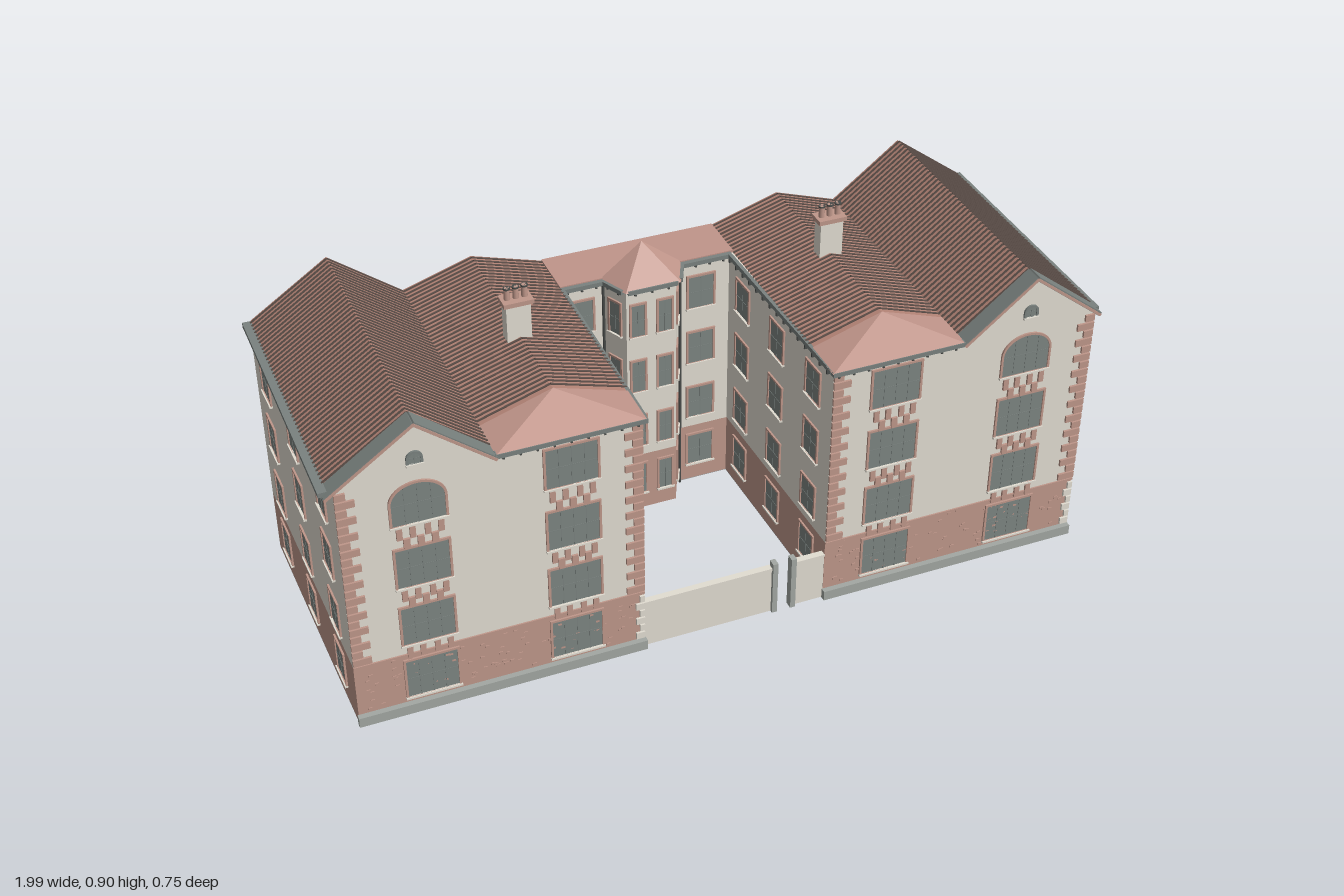
import * as THREE from 'three';
import { mergeGeometries } from 'three/addons/utils/BufferGeometryUtils.js';
import { ConvexGeometry } from 'three/addons/geometries/ConvexGeometry.js';

const mat = (name, color) => Object.assign(new THREE.MeshStandardMaterial({ color }), { name });
const M = {
  wall: mat('render', 0xe2ddd2), red: mat('redStone', 0xbf978a), hip: mat('smoothRoof', 0xc0958a),
  tile: mat('roofTile', 0xb48476), groove: mat('tileGroove', 0x5e504a), glass: mat('glass', 0x7d8582),
  slate: mat('slate', 0x7a827f), plinth: mat('plinthStone', 0xa3a8a3), dark: mat('darkMetal', 0x4a4d4b),
  floor: mat('underside', 0xa4a4a4),
};

const boxGeo = (w, h, d, x, y, z) => new THREE.BoxGeometry(w, h, d).translate(x, y, z);
function add(parent, name, geo, material) {
  const m = new THREE.Mesh(geo, material);
  m.name = name;
  parent.add(m);
  return m;
}
const box = (parent, name, material, w, h, d, x, y, z) => add(parent, name, boxGeo(w, h, d, x, y, z), material);

// Prism rising from a floor plan of [x, z] points
function plan(parent, name, material, pts, y0, y1) {
  const s = new THREE.Shape(pts.map(([x, z]) => new THREE.Vector2(x, -z)));
  const g = new THREE.ExtrudeGeometry(s, { depth: y1 - y0, bevelEnabled: false });
  return add(parent, name, g.rotateX(-Math.PI / 2).translate(0, y0, 0), material);
}

// Prism running along z from an outline of [x, y] points
function profile(parent, name, material, pts, z0, z1) {
  const s = new THREE.Shape(pts.map(p => new THREE.Vector2(...p)));
  const g = new THREE.ExtrudeGeometry(s, { depth: z1 - z0, bevelEnabled: false });
  return add(parent, name, g.translate(0, 0, z0), material);
}

// Group lying on a wall: local x runs along it, local z points outward
function facade(parent, name, [x1, z1], [x2, z2]) {
  const g = new THREE.Group();
  g.name = name;
  g.position.set(x1, 0, z1);
  g.rotation.y = Math.atan2(z1 - z2, x2 - x1);
  g.userData.length = Math.hypot(x2 - x1, z2 - z1);
  parent.add(g);
  return g;
}

function windowShape(w, h, arch) {
  const s = new THREE.Shape();
  s.moveTo(-w / 2, 0);
  s.lineTo(w / 2, 0);
  s.lineTo(w / 2, h - arch);
  if (arch) s.absellipse(0, h - arch, w / 2, arch, 0, Math.PI, false);
  else s.lineTo(-w / 2, h);
  s.lineTo(-w / 2, 0);
  return s;
}

// Window with frame, glazing bars and sill
function addWindow(f, x, y, w, h, { frame = M.red, arch = 0, cols = 2 } = {}) {
  const g = new THREE.Group();
  g.name = 'window';
  g.position.set(x, y, 0);
  f.add(g);
  const t = 0.006;
  add(g, 'pane', new THREE.ShapeGeometry(windowShape(w, h, arch), 10).translate(0, 0, 0.002), M.glass);
  const rim = windowShape(w + 2 * t, h + t, arch ? arch + t : 0);
  rim.holes.push(windowShape(w, h, arch));
  add(g, 'windowFrame', new THREE.ExtrudeGeometry(rim, { depth: 0.005, bevelEnabled: false, curveSegments: 10 }), frame);
  const bars = [boxGeo(w, 0.002, 0.002, 0, h * 0.5, 0.002)];
  for (let i = 1; i < cols; i++) bars.push(boxGeo(0.002, h * 0.96, 0.002, -w / 2 + w * i / cols, h * 0.48, 0.002));
  add(g, 'glazingBars', mergeGeometries(bars), M.slate);
  box(g, 'sill', M.wall, w + 0.014, 0.005, 0.009, 0, -0.0025, 0.004);
}

// Gutter with small brackets beneath
function addGutter(f, from, to, out = 0.018) {
  box(f, 'gutter', M.slate, to - from, 0.012, out, (from + to) / 2, 0.708, out / 2);
  const n = Math.round((to - from) / 0.04), parts = [];
  for (let i = 0; i < n; i++) parts.push(boxGeo(0.005, 0.011, 0.01, from + (i + 0.5) * (to - from) / n, 0.6965, 0.005));
  add(f, 'eaveBrackets', mergeGeometries(parts), M.dark);
}

// Ridged roof: a shell open at the back over an attic floor, with dark ribs down both slopes
function addRoof(parent, x0, xm, x1, top, z0, z1) {
  const y = 0.712;
  profile(parent, 'tiledRoof', M.tile,
    [[x0, y], [x0 + 0.014, y], [xm, top - 0.008], [x1 - 0.014, y], [x1, y], [xm, top]], z0, z1);
  box(parent, 'atticFloor', M.slate, x1 - x0 - 0.02, 0.004, z1 - z0, (x0 + x1) / 2, 0.71, (z0 + z1) / 2);
  for (const xe of [x0, x1]) {
    const len = Math.hypot(xm - xe, top - y), a = Math.atan2(top - y, xm - xe), parts = [];
    for (let z = z0 + 0.01; z < z1 - 0.004; z += 0.0157) parts.push(boxGeo(len, 0.005, 0.0052, len / 2, 0, z));
    const ribs = add(parent, 'tileGrooves', mergeGeometries(parts), M.groove);
    ribs.rotation.z = a;
    ribs.position.set(xe, y, 0);
  }
}

// Front gable with sloping coping and a small arched light
function addGable(parent, x0, xm, x1) {
  const top = 0.848, y = 0.7;
  profile(parent, 'frontGable', M.wall, [[x0, y], [x1, y], [xm, top]], 0.33, 0.357);
  for (const xe of [x0, x1]) {
    const s = Math.sign(xm - xe), len = Math.hypot(xm - xe, top - y) + 0.004;
    const c = new THREE.Group();
    c.name = 'gableCoping';
    c.position.set(xe, y, 0);
    c.rotation.z = Math.atan2(top - y, xm - xe);
    parent.add(c);
    box(c, 'copingSlate', M.slate, len, 0.011, 0.045, len / 2, 0.0045 * s, 0.3525);
    box(c, 'copingEdge', M.red, len, 0.007, 0.002, len / 2, 0.0035 * s, 0.376);
  }
  const f = facade(parent, 'gableLight', [xm, 0.357], [xm + 0.1, 0.357]);
  addWindow(f, 0, 0.736, 0.028, 0.028, { arch: 0.014, frame: M.slate });
}

function addChimney(parent, x, z) {
  const g = new THREE.Group();
  g.name = 'chimney';
  g.position.set(x, 0, z);
  parent.add(g);
  box(g, 'chimneyStack', M.wall, 0.062, 0.15, 0.035, 0, 0.785, 0);
  box(g, 'chimneyCap', M.red, 0.076, 0.012, 0.048, 0, 0.866, 0);
  for (const dx of [-0.022, 0, 0.022]) {
    add(g, 'chimneyPot', new THREE.CylinderGeometry(0.007, 0.008, 0.034, 10).translate(dx, 0.887, 0), M.red);
    add(g, 'potRim', new THREE.CylinderGeometry(0.009, 0.009, 0.004, 10).translate(dx, 0.902, 0), M.dark);
  }
}

// Ornate street front of one wing; cols are [x, isArched]
function addStreetFront(parent, x0, x1, cols, gutterFrom, gutterTo, seed) {
  const f = facade(parent, 'streetFront', [x0, 0.355], [x1, 0.355]), L = x1 - x0;
  for (const [wx, arched] of cols) {
    const x = wx - x0;
    [0.045, 0.21, 0.385, 0.568].forEach((y, row) => {
      const top = row === 3;
      addWindow(f, x, y, 0.128, 0.112, { cols: 4, arch: top && arched ? 0.05 : 0 });
      if (row === 0) return;
      const parts = [-0.05, -0.018, 0.018, 0.05].map(d => boxGeo(0.014, 0.034, 0.006, x + d, y - 0.023, 0.003));
      if (!top) for (const d of [-0.034, 0, 0.034]) parts.push(boxGeo(0.016, 0.03, 0.006, x + d, y + 0.128, 0.003));
      add(f, 'windowBlocks', mergeGeometries(parts), M.red);
    });
  }
  // Alternating corner blocks
  const quoins = [], baseQuoins = [];
  for (let i = 0; i < 22; i++) {
    const w = i % 2 ? 0.026 : 0.046, y = 0.195 + i * 0.0235;
    for (const x of [w / 2, L - w / 2]) quoins.push(boxGeo(w, 0.019, 0.008, x, y, 0.002));
    if (i < 6) baseQuoins.push(boxGeo(w / 2, 0.019, 0.008, L - w / 4, 0.042 + i * 0.0235, 0.002));
  }
  add(f, 'cornerBlocks', mergeGeometries(quoins), M.red);
  add(f, 'baseCornerBlocks', mergeGeometries(baseQuoins), M.wall);
  // Rubble stones standing slightly proud of the base storey
  const rnd = () => (seed = (seed * 16807) % 2147483647) / 2147483647;
  const stones = [];
  for (let i = 0; i < 90; i++) stones.push(boxGeo(0.01, 0.006, 0.003, 0.03 + rnd() * (L - 0.06), 0.036 + rnd() * 0.135, 0.0005));
  add(f, 'rubbleStones', mergeGeometries(stones), M.red);
  box(f, 'stringCourse', M.red, L, 0.006, 0.004, L / 2, 0.178, 0.002);
  box(f, 'plinth', M.plinth, L + 0.006, 0.028, 0.015, L / 2, 0.014, 0.0075);
  addGutter(f, gutterFrom - x0, gutterTo - x0);
}

// Plain wall with a grid of windows at the given distances along it
function addPlainWall(parent, name, p, q, cols, w = 0.07, gutter = 0.018) {
  const f = facade(parent, name, p, q);
  for (const x of cols) [0.055, 0.213, 0.39, 0.563].forEach(y => addWindow(f, x, y, w, 0.095));
  addGutter(f, 0, f.userData.length, gutter);
}

export function createModel() {
  const g = new THREE.Group();
  g.name = 'apartmentBuilding';

  // U-shaped body
  const U = [[-0.965, 0.355], [-0.228, 0.355], [-0.222, -0.235], [0.246, -0.235], [0.264, 0.355],
    [0.982, 0.355], [0.982, -0.372], [-0.982, -0.372]];
  plan(g, 'underside', M.floor, U, 0, 0.002);
  plan(g, 'baseStorey', M.red, U, 0.002, 0.18);
  plan(g, 'upperStoreys', M.wall, U, 0.18, 0.708);
  box(g, 'backWall', M.wall, 1.964, 0.706, 0.003, 0, 0.355, -0.3735);

  // Walls and windows
  addStreetFront(g, -0.965, -0.228, [[-0.775, true], [-0.405, false]], -0.59, -0.22, 11);
  addStreetFront(g, 0.264, 0.982, [[0.435, false], [0.795, true]], 0.255, 0.61, 77);
  addPlainWall(g, 'rightWall', [0.982, 0.355], [0.982, -0.372], [0.12, 0.365, 0.61], 0.07, 0.012);
  addPlainWall(g, 'leftWall', [-0.982, -0.372], [-0.965, 0.355], [0.117, 0.362, 0.607]);
  addPlainWall(g, 'courtWallLeft', [-0.228, 0.355], [-0.222, -0.235], [0.1, 0.3, 0.5], 0.07, 0.01);
  addPlainWall(g, 'courtWallRight', [0.246, -0.235], [0.264, 0.355], [0.09, 0.29, 0.49], 0.07, 0.01);
  addPlainWall(g, 'courtBackWall', [-0.222, -0.235], [0.246, -0.235], [0.053, 0.388]);

  // Canted stair bay in the courtyard
  const bay = [[-0.1, -0.235], [-0.068, -0.165], [0.068, -0.165], [0.1, -0.235]];
  plan(g, 'bayBase', M.red, bay, 0.001, 0.18);
  plan(g, 'bayUpper', M.wall, bay, 0.18, 0.708);
  addPlainWall(g, 'bayFront', bay[1], bay[2], [0.031, 0.105], 0.036);
  addPlainWall(g, 'bayLeftSide', bay[0], bay[1], [0.038], 0.036);
  addPlainWall(g, 'bayRightSide', bay[2], bay[3], [0.038], 0.036);
  const v = (x, y, z) => new THREE.Vector3(x, y, z);
  add(g, 'bayRoof', new ConvexGeometry([v(-0.115, 0.71, -0.235), v(-0.075, 0.71, -0.147), v(0.075, 0.71, -0.147),
    v(0.115, 0.71, -0.235), v(0, 0.803, -0.23)]), M.hip);
  for (const x of [-0.106, 0.106])
    add(g, 'drainpipe', new THREE.CylinderGeometry(0.004, 0.004, 0.7, 8).translate(x, 0.352, -0.229), M.dark);

  // Roofs
  addRoof(g, -0.985, -0.775, -0.59, 0.853, -0.375, 0.332);
  addRoof(g, 0.61, 0.795, 0.985, 0.853, -0.375, 0.332);
  box(g, 'leftEave', M.slate, 0.035, 0.012, 0.735, -0.9825, 0.711, -0.005);
  addGable(g, -0.985, -0.775, -0.59);
  addGable(g, 0.61, 0.795, 0.985);
  for (const [x0, xm, x1] of [[-0.59, -0.408, -0.22], [0.253, 0.44, 0.61]]) {
    addRoof(g, x0, xm, x1, 0.77, -0.375, 0.25);
    add(g, 'hippedRoofEnd', new ConvexGeometry([v(x0, 0.713, 0.25), v(x1, 0.713, 0.25), v(x0, 0.713, 0.373),
      v(x1, 0.713, 0.373), v(xm, 0.772, 0.25)]), M.hip);
  }
  box(g, 'flatRoof', M.hip, 0.475, 0.008, 0.143, 0.0165, 0.713, -0.3015);
  addChimney(g, -0.41, 0.002);
  addChimney(g, 0.443, -0.062);

  // Courtyard wall and gate posts
  for (const [x0, x1] of [[-0.228, 0.118], [0.182, 0.264]]) {
    box(g, 'courtyardWall', M.wall, x1 - x0, 0.135, 0.012, (x0 + x1) / 2, 0.0675, 0.348);
    box(g, 'wallCoping', M.wall, x1 - x0, 0.007, 0.018, (x0 + x1) / 2, 0.1385, 0.348);
  }
  for (const x of [0.125, 0.176]) box(g, 'gatePost', M.plinth, 0.014, 0.158, 0.022, x, 0.079, 0.352);
  return g;
}
